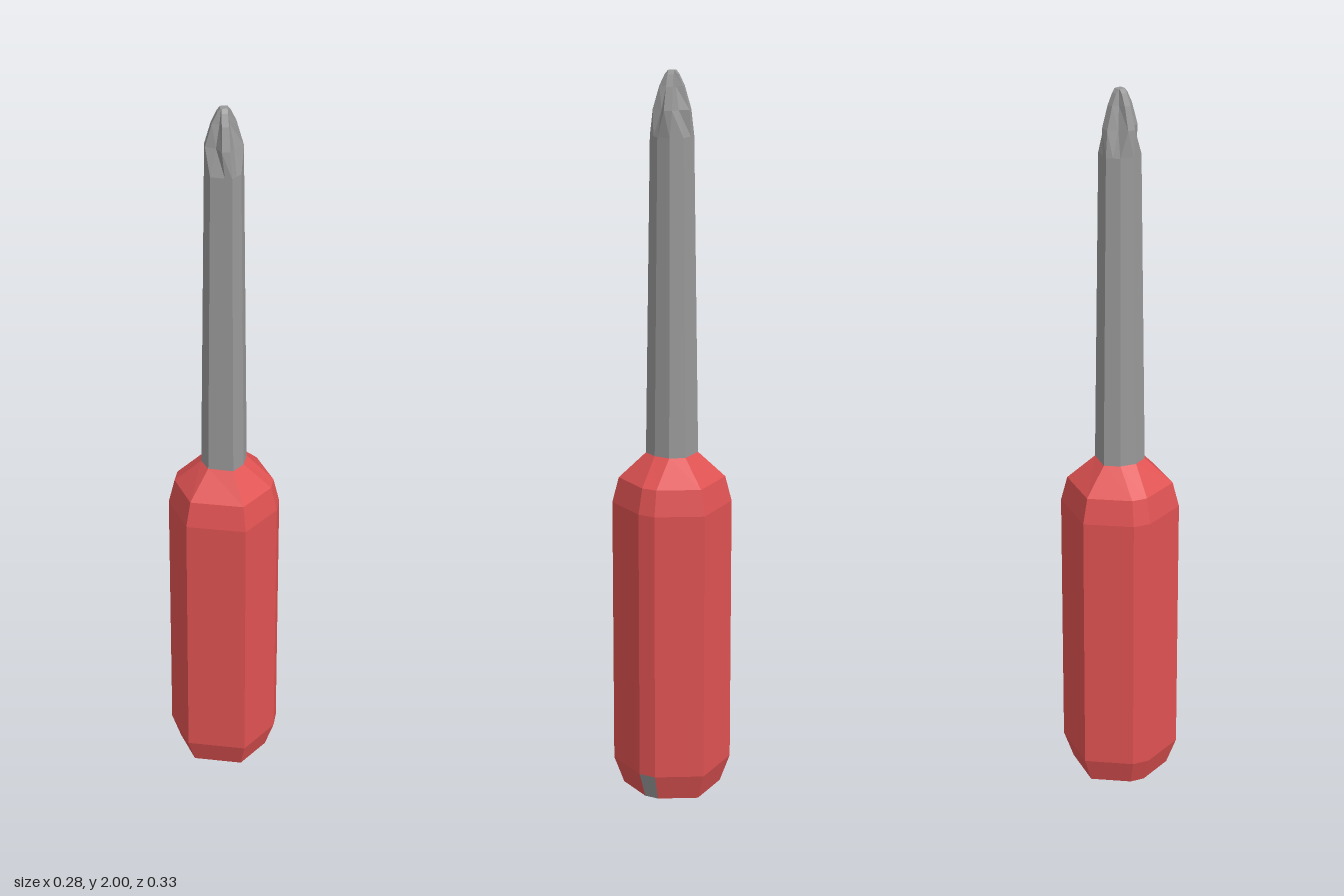
import * as THREE from 'three';

// Completes a half outline [[x, z], ...] by point symmetry
const outline = (half) => [...half, ...half.map(([x, z]) => [-x, -z])];
const scaled = (pts, s) => pts.map(([x, z]) => [x * s, z * s]);

// Skin over rings { y, pts }; keep(ring, side) chooses which side faces are made
function loft(rings, { bottom = false, top = false, keep = () => true } = {}) {
  const pos = [];
  const at = (ring, i) => {
    const [x, z] = ring.pts[i % ring.pts.length];
    return [x, ring.y, z];
  };
  const tri = (a, b, c) => pos.push(...a, ...b, ...c);
  for (let r = 0; r < rings.length - 1; r++) {
    for (let i = 0; i < rings[r].pts.length; i++) {
      if (!keep(r, i)) continue;
      const a = at(rings[r], i), b = at(rings[r], i + 1);
      const c = at(rings[r + 1], i + 1), d = at(rings[r + 1], i);
      tri(a, d, c);
      tri(a, c, b);
    }
  }
  const first = rings[0], last = rings[rings.length - 1];
  if (bottom) first.pts.forEach((_, i) => tri([0, first.y, 0], at(first, i), at(first, i + 1)));
  if (top) last.pts.forEach((_, i) => tri([0, last.y, 0], at(last, i + 1), at(last, i)));
  const geo = new THREE.BufferGeometry();
  geo.setAttribute('position', new THREE.Float32BufferAttribute(pos, 3));
  geo.computeVertexNormals();
  return geo;
}

// Four-armed cross outline: arm reach, arm half width, flute depth on the axes
function cross(reach, w, flute) {
  const k = Math.SQRT1_2, a = (reach + w) * k, b = (reach - w) * k;
  return outline([[0, -flute], [b, -a], [a, -b], [flute, 0], [a, b], [b, a]]);
}

export function createModel() {
  const group = new THREE.Group();
  const red = new THREE.MeshStandardMaterial({ color: 0xe05252, flatShading: true });
  const steel = new THREE.MeshStandardMaterial({ color: 0x999999, flatShading: true });
  const add = (name, geo, mat) => {
    const mesh = new THREE.Mesh(geo, mat);
    mesh.name = name;
    group.add(mesh);
  };

  // Handle: hexagon with two opposite corners cut off
  const grip = outline([[0, -0.163], [0.117, -0.097], [0.141, -0.055], [0.141, 0.082]]);
  const shaftBase = outline([[0, -0.068], [0.04, -0.049], [0.061, -0.009], [0.061, 0.036]]);
  const handleRings = [
    { y: 0, pts: scaled(grip, 0.83) },
    { y: 0.075, pts: grip },
    { y: 0.83, pts: grip },
    { y: 0.9, pts: scaled(grip, 0.89) },
    { y: 0.97, pts: shaftBase },
  ];
  const isInlay = (r, i) => r === 0 && i === 1;
  add('handle', loft(handleRings, { bottom: true, top: true, keep: (r, i) => !isInlay(r, i) }), red);
  // Small grey facet on the lower bevel
  add('handleInlay', loft(handleRings, { keep: isInlay }), steel);

  // Tapered shaft
  add('shaft', loft([
    { y: 0.97, pts: shaftBase },
    { y: 1.83, pts: scaled(shaftBase, 0.82) },
  ]), steel);

  // Cross-shaped tip with four flutes, blending out of the shaft
  const tipBase = outline([
    [0, -0.068], [0.04, -0.049], [0.061, -0.009], [0.061, 0.014], [0.061, 0.036], [0.041, 0.047],
  ]);
  add('tip', loft([
    { y: 1.83, pts: scaled(tipBase, 0.82) },
    { y: 1.9, pts: cross(0.049, 0.011, 0.032) },
    { y: 1.96, pts: cross(0.032, 0.009, 0.018) },
    { y: 1.99, pts: cross(0.018, 0.008, 0.013) },
    { y: 2, pts: cross(0.01, 0.008, 0.012) },
  ], { top: true }), steel);

  return group;
}
